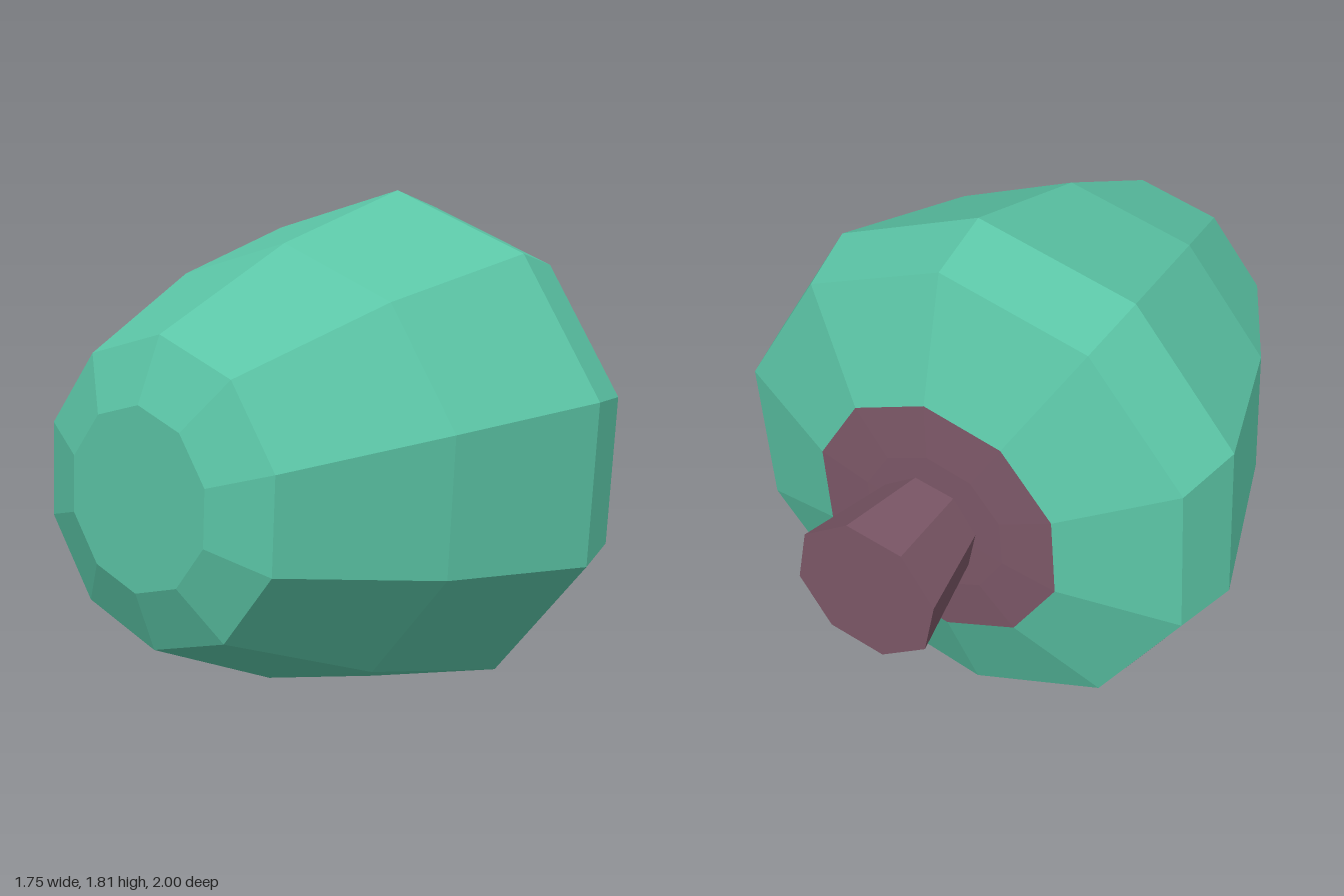
import * as THREE from 'three';

const DEG = Math.PI / 180;
const CENTRE_Y = 0.905;

// Faceted solid turned around the z axis; profile is [radius, z] from back to front
function turned(name, profile, sides, phase, material) {
  const points = profile.map(([r, z]) => new THREE.Vector2(r, z));
  const lathe = new THREE.LatheGeometry(points, sides, phase * DEG, Math.PI * 2);
  lathe.rotateX(Math.PI / 2);
  const geometry = lathe.toNonIndexed();
  geometry.computeVertexNormals();
  const mesh = new THREE.Mesh(geometry, material);
  mesh.name = name;
  mesh.position.y = CENTRE_Y;
  return mesh;
}

function flat(name, color) {
  const material = new THREE.MeshStandardMaterial({ color, flatShading: true });
  material.name = name;
  return material;
}

export function createModel() {
  const green = flat('green skin', 0x5bc5a6);
  const plum = flat('plum stem', 0x7d5868);
  const group = new THREE.Group();
  group.name = 'fruit';

  // Ten-sided body with a blunt front end
  group.add(turned('body', [
    [0.45, -0.63], [0.84, -0.48], [0.905, -0.24], [0.745, 0.36],
    [0.497, 0.915], [0.293, 1], [0, 1],
  ], 10, -3.2, green));

  // Shallow cap closing the back of the body
  group.add(turned('stemCap', [
    [0, -0.645], [0.26, -0.643], [0.45, -0.63],
  ], 10, -3.2, plum));

  // Eight-sided stem flaring to a flat cut end
  const stem = turned('stem', [
    [0, -1], [0.255, -1], [0.186, -0.64],
  ], 8, -10.5, plum);
  stem.position.set(0.028, 0.884, 0);
  group.add(stem);

  return group;
}
